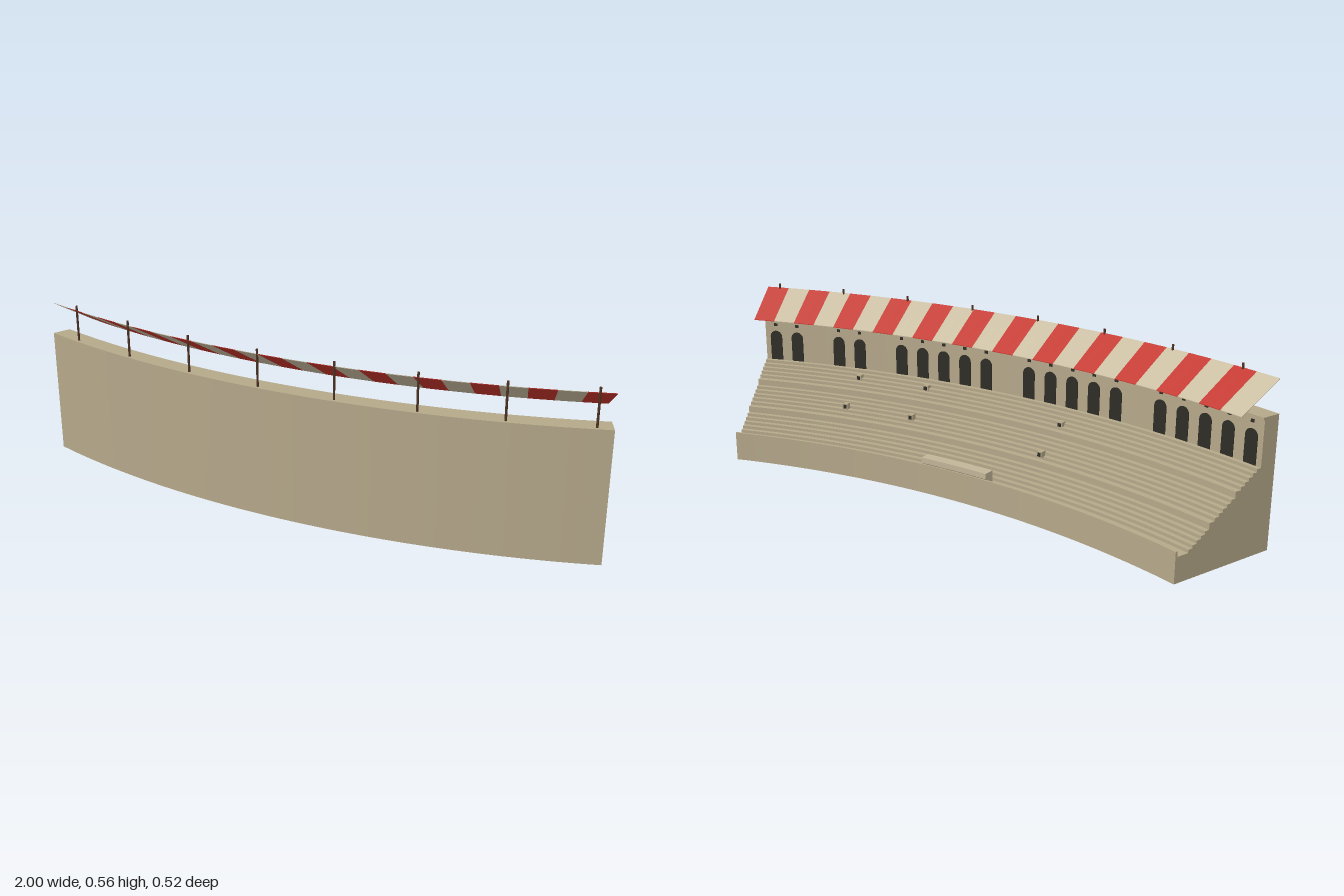
import * as THREE from 'three';

const mat = (name, color) => Object.assign(new THREE.MeshStandardMaterial({ color }), { name });
const END = 0.37; // half sweep angle of the stand

// Point on the elliptical plan: t along the arc, d inward from the outer wall
const at = (t, d, y) => [(2.765 - d) * Math.sin(t), y, (2.363 - d) * Math.cos(t) - 2.103];

// Sweep a closed (d, y) profile along the arc, with capped ends
function sweep(profile, t0, t1, segments) {
  const pos = [];
  const tri = (a, b, c) => pos.push(...a, ...b, ...c);
  for (let s = 0; s < segments; s++) {
    const u = t0 + ((t1 - t0) * s) / segments;
    const v = t0 + ((t1 - t0) * (s + 1)) / segments;
    profile.forEach((p, i) => {
      const q = profile[(i + 1) % profile.length];
      const a = at(u, ...p), b = at(v, ...p), c = at(v, ...q), d = at(u, ...q);
      tri(a, b, c);
      tri(a, c, d);
    });
  }
  const pts = profile.map((p) => new THREE.Vector2(...p));
  for (const face of THREE.ShapeUtils.triangulateShape(pts, [])) {
    let [a, b, c] = face.map((i) => profile[i]);
    const area = (b[0] - a[0]) * (c[1] - a[1]) - (c[0] - a[0]) * (b[1] - a[1]);
    if (area < 0) [b, c] = [c, b];
    tri(at(t1, ...a), at(t1, ...b), at(t1, ...c));
    tri(at(t0, ...a), at(t0, ...c), at(t0, ...b));
  }
  const geo = new THREE.BufferGeometry();
  geo.setAttribute('position', new THREE.Float32BufferAttribute(pos, 3));
  geo.computeVertexNormals();
  return geo;
}

export function createModel() {
  const model = new THREE.Group();
  model.name = 'arenaStand';
  const stone = mat('stone', 0xb5a88a);
  const paleStone = mat('paleStone', 0xc2b598);
  const dark = mat('darkOpening', 0x2e2c26);
  const wood = mat('wood', 0x4e3324);
  const red = mat('redCloth', 0xc2352c);
  const cream = mat('creamCloth', 0xc8bca0);

  const add = (name, geo, material, parent = model) => {
    const mesh = new THREE.Mesh(geo, material);
    mesh.name = name;
    parent.add(mesh);
    return mesh;
  };
  // Put a part on the arc with its +z facing the arena
  const place = (mesh, t, d, y) => {
    mesh.position.set(...at(t, d, y));
    mesh.rotation.y = Math.atan2(-(2.363 - d) * Math.sin(t), -(2.765 - d) * Math.cos(t));
    return mesh;
  };
  const group = (name) => {
    const g = new THREE.Group();
    g.name = name;
    model.add(g);
    return g;
  };

  // Wall with cornice, three tiers of six seat rows, and the arena parapet
  const profile = [[0, 0], [0, 0.44], [0.065, 0.44], [0.065, 0.432], [0.059, 0.432]];
  let d = 0.059, y = 0.283;
  for (let tier = 0; tier < 3; tier++) {
    for (let row = 0; row < 6; row++) {
      profile.push([d, y]);
      d += row === 5 ? 0.0207 : 0.0158;
      if (tier === 2 && row === 5) d = 0.38;
      profile.push([d, y]);
      y -= row === 5 ? 0.0215 : 0.0103;
    }
  }
  profile.push([0.38, 0.103], [0.387, 0.103], [0.387, 0]);
  add('seatingStand', sweep(profile, -END, END, 48), stone);

  // Arched openings in the rear wall, in bays, with beam sockets above
  const arch = new THREE.Shape();
  arch.moveTo(-0.023, 0);
  arch.lineTo(0.023, 0);
  arch.lineTo(0.023, 0.088);
  arch.absarc(0, 0.088, 0.023, 0, Math.PI, false);
  arch.closePath();
  const archGeo = new THREE.ExtrudeGeometry(arch, { depth: 0.003, bevelEnabled: false, curveSegments: 10 });
  const socketGeo = new THREE.BoxGeometry(0.012, 0.01, 0.006);
  const arches = group('archedOpenings');
  const slots = 23;
  for (let i = 0; i < slots; i++) {
    if ([5, 11, 17, 20].includes(i)) continue;
    const t = -END + ((i + 0.5) / slots) * 2 * END;
    place(add('arch', archGeo, dark, arches), t, 0.0585, 0.284);
    place(add('beamSocket', socketGeo, dark, arches), t, 0.059, 0.419);
  }

  // Small stair exits set into the rows
  const exits = group('stairExits');
  const exitSpots = [
    [0.58, 0.1, 0.264], [0.305, 0.1, 0.264], [-0.26, 0.125, 0.247],
    [0.55, 0.22, 0.193], [0.286, 0.22, 0.193], [-0.25, 0.237, 0.177],
  ];
  for (const [x, depth, height] of exitSpots) {
    const t = Math.asin(x / (2.765 - depth));
    place(add('exitFrame', new THREE.BoxGeometry(0.02, 0.02, 0.02), stone, exits), t, depth, height);
    place(add('exitOpening', new THREE.BoxGeometry(0.012, 0.013, 0.003), dark, exits), t, depth + 0.0105, height);
  }

  // Raised box of honour in the middle of the parapet
  const box = [[0.35, 0.08], [0.35, 0.127], [0.388, 0.127], [0.388, 0.108]];
  add('honourBox', sweep(box, -0.054, 0.054, 6), paleStone);

  // Striped awning sloping down towards the arena
  const cloth = [[0.01, 0.55], [0.158, 0.462], [0.158, 0.46], [0.01, 0.548]];
  const awning = group('awning');
  const stripes = 24;
  for (let i = 0; i < stripes; i++) {
    const t0 = -END + (i / stripes) * 2 * END;
    add('awningStripe', sweep(cloth, t0, t0 + (2 * END) / stripes, 2), i % 2 ? red : cream, awning);
  }

  // Awning masts along the wall top
  const masts = group('awningMasts');
  const mastGeo = new THREE.CylinderGeometry(0.0038, 0.0038, 0.127, 8);
  for (let i = 0; i < 8; i++) {
    place(add('mast', mastGeo, wood, masts), -0.3213 + (i / 7) * 0.6733, 0.013, 0.5015);
  }
  return model;
}
